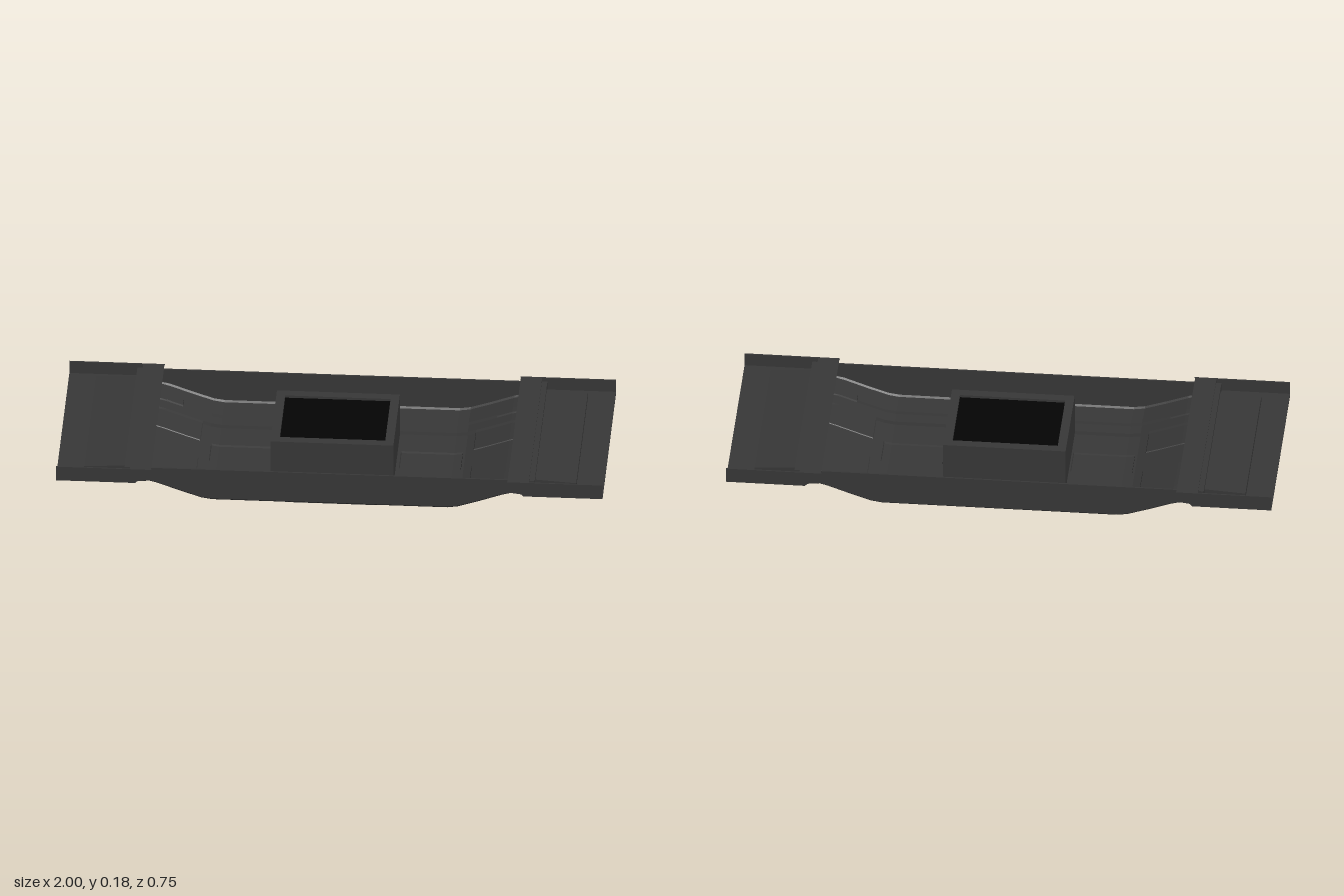
import * as THREE from 'three';

const dark = new THREE.MeshStandardMaterial({ color: 0x383838, flatShading: true, side: THREE.DoubleSide });
const black = new THREE.MeshStandardMaterial({ color: 0x040404 });

// Lengthwise floor profile for x >= 0: [x, y]
const PROFILE = [[0, 0.02], [0.43, 0.02], [0.47, 0.026], [0.55, 0.053], [0.63, 0.082], [0.66, 0.09], [0.708, 0.09], [0.714, 0.1], [0.75, 0.1]];
const STEP = 0.002;

function profileY(x) {
  const a = Math.abs(x);
  for (let i = 1; i < PROFILE.length; i++) {
    const [x0, y0] = PROFILE[i - 1], [x1, y1] = PROFILE[i];
    if (a <= x1) return y0 + (y1 - y0) * (a - x0) / (x1 - x0);
  }
  return 0.1;
}

// Pressed channels and plates relative to the profile
function relief(x, z) {
  const ax = Math.abs(x), az = Math.abs(z);
  const fade = THREE.MathUtils.clamp((0.71 - ax) / 0.06, 0, 1);
  let d = 0;
  if (az < 0.18) {
    d = -0.012;
    if (az < 0.06 && ax > 0.235 && ax < 0.46) d = -0.019;
    else if (az > 0.06 && ax > 0.5) d = -0.009;
  } else if (az > 0.232 && az < 0.265) {
    d = ax < 0.575 ? 0.01 : 0.006;
  } else if (az > 0.345) d = 0.008;
  return d * fade;
}

// Grid lines doubled at each step so that the steps stay steep
function gridLines(steps, plain) {
  const half = [...plain, ...steps.flatMap(s => [s - STEP / 2, s + STEP / 2])];
  return [...new Set([...half, ...half.map(v => -v)].map(v => +v.toFixed(4) + 0))].sort((a, b) => a - b);
}

function floorGeometry() {
  const xs = gridLines([0.235, 0.46, 0.5, 0.575], [0, ...PROFILE.slice(1).map(p => p[0])]);
  const zs = gridLines([0.06, 0.18, 0.232, 0.265], [0, 0.341, 0.35]);
  const pos = [], index = [], n = zs.length;
  xs.forEach((x, i) => zs.forEach((z, j) => {
    pos.push(x, profileY(x) + relief(x, z), z);
    if (i && j) {
      const a = (i - 1) * n + j - 1, b = a + 1, c = a + n, d = c + 1;
      index.push(a, b, c, b, d, c);
    }
  }));
  const g = new THREE.BufferGeometry();
  g.setAttribute('position', new THREE.Float32BufferAttribute(pos, 3));
  g.setIndex(index);
  g.computeVertexNormals();
  return g;
}

// Extrude an x-y outline from z0 to z1
function slab(points, z0, z1) {
  const shape = new THREE.Shape(points.map(p => new THREE.Vector2(...p)));
  return new THREE.ExtrudeGeometry(shape, { depth: z1 - z0, bevelEnabled: false }).translate(0, 0, z0);
}

function box(w, h, d, x, y, z) {
  return new THREE.BoxGeometry(w, h, d).translate(x, y, z);
}

export function createModel() {
  const model = new THREE.Group();
  const add = (name, geometry, material = dark, parent = model) => {
    const m = new THREE.Mesh(geometry, material);
    m.name = name;
    parent.add(m);
  };

  add('pressedFloor', floorGeometry());

  // Long side walls following the floor edge, and the skids beneath
  const edge = PROFILE.slice(1, -1).map(([x]) => [x, profileY(x) + relief(x, 0.35)]);
  const wall = [...edge.map(([x, y]) => [-x, y]).reverse(), ...edge, [0.66, 0.15], [-0.66, 0.15]];
  add('frontWall', slab(wall, 0.344, 0.35));
  add('backWall', slab(wall, -0.35, -0.344));
  for (const side of [1, -1]) {
    add('skid', slab([[-0.165, 0.001], [0.16, 0.001], [0.172, 0.019], [-0.177, 0.019]], side * 0.29 - 0.022, side * 0.29 + 0.022));
  }

  // End decks, mirrored by a half turn
  for (const side of [1, -1]) {
    const end = new THREE.Group();
    end.name = side > 0 ? 'leftEnd' : 'rightEnd';
    end.rotation.y = side > 0 ? 0 : Math.PI;
    add('deckPlate', box(0.29, 0.008, 0.74, 0.855, 0.102, 0), dark, end);
    add('deckPanel', slab([[0.745, 0.105], [0.9, 0.105], [0.9, 0.127], [0.745, 0.137]], -0.317, 0.317), dark, end);
    add('deckRib', box(0.018, 0.006, 0.6, 0.89, 0.099, 0), dark, end);
    const cheek = [[0.71, 0.097], [1, 0.097], [1, 0.155], [0.65, 0.155]];
    add('deckCheek', slab(cheek, 0.368, 0.373), dark, end);
    add('deckCheek', slab(cheek, -0.373, -0.368), dark, end);
    add('crossBar', slab([[0.705, 0.1], [0.73, 0.1], [0.73, 0.155], [0.652, 0.155]], -0.368, 0.368), dark, end);
    add('crossBarStep', slab([[0.73, 0.105], [0.75, 0.105], [0.75, 0.15], [0.73, 0.15]], -0.35, 0.35), dark, end);
    model.add(end);
  }

  // Central hatch with a dark filled opening
  const rect = (Path, w, d) => new Path([[-w, -d], [w, -d], [w, d], [-w, d]].map(p => new THREE.Vector2(...p)));
  const frame = rect(THREE.Shape, 0.225, 0.18);
  frame.holes.push(rect(THREE.Path, 0.193, 0.146));
  add('hatchFrame', new THREE.ExtrudeGeometry(frame, { depth: 0.173, bevelEnabled: false })
    .rotateX(-Math.PI / 2).translate(-0.003, 0.004, 0));
  add('hatchOpening', box(0.385, 0.165, 0.291, -0.003, 0.0855, 0), black);

  return model;
}
